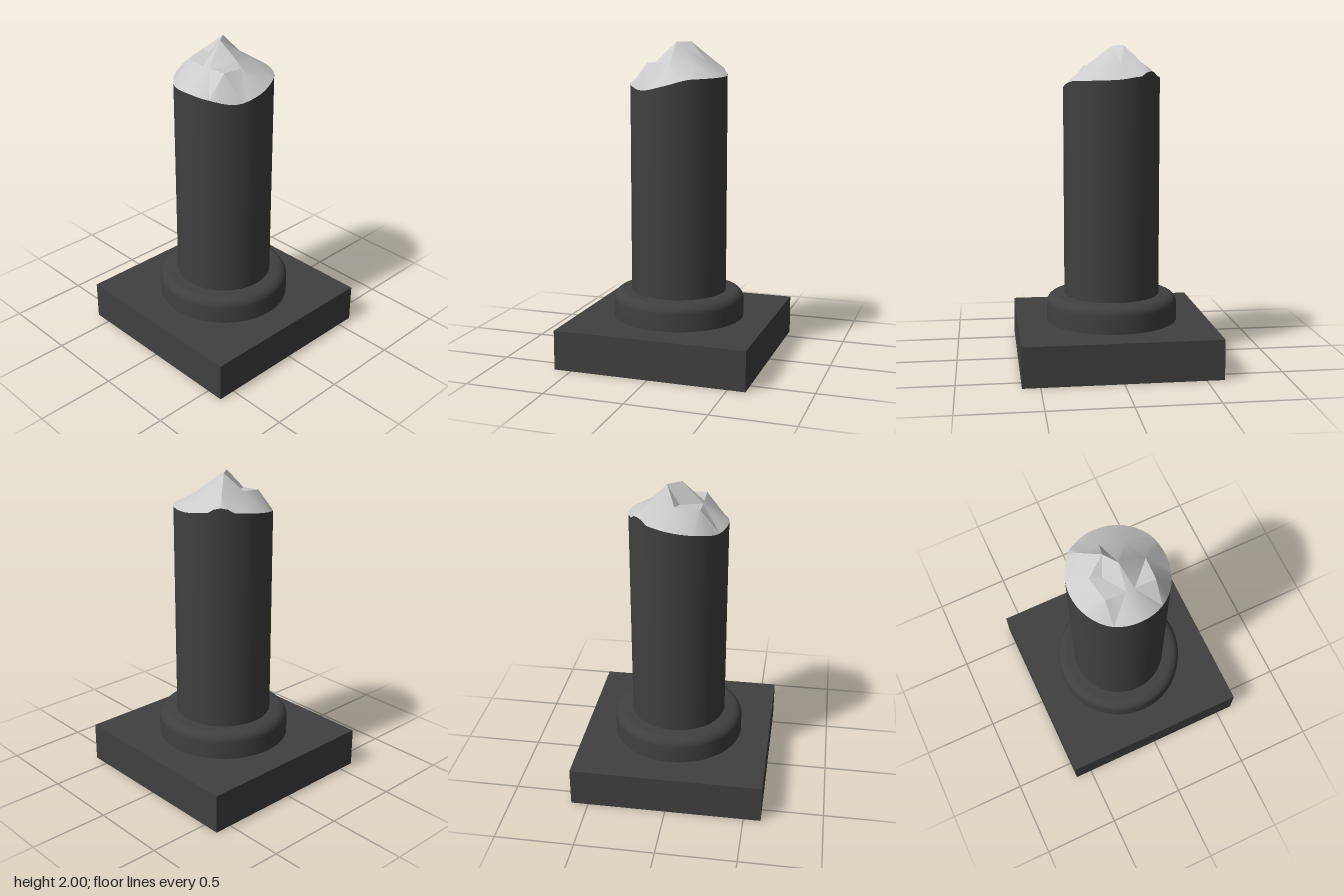
import * as THREE from 'three';
import { toCreasedNormals } from 'three/addons/utils/BufferGeometryUtils.js';

const SEGMENTS = 48, RADIUS = 0.305;

// Height of the broken rim, every 30 degrees from +z towards +x
const rimCurve = new THREE.CatmullRomCurve3(
  [1.75, 1.735, 1.71, 1.74, 1.78, 1.785, 1.79, 1.81, 1.81, 1.79, 1.765, 1.74]
    .map((h) => new THREE.Vector3(0, h, 0)), true);

function rimPoint(i) {
  const t = (((i % SEGMENTS) + SEGMENTS) % SEGMENTS) / SEGMENTS;
  const a = t * Math.PI * 2;
  return [Math.sin(a) * RADIUS, rimCurve.getPoint(t).y, Math.cos(a) * RADIUS];
}

// Open cylinder whose top edge follows the rim
function shaftGeometry() {
  const geo = new THREE.CylinderGeometry(RADIUS, RADIUS, 1, SEGMENTS, 1, true);
  const pos = geo.attributes.position;
  for (let i = 0; i < pos.count; i++) {
    pos.setY(i, i <= SEGMENTS ? rimPoint(i)[1] : 0.41);
  }
  return geo;
}

// Jagged stone: a ridge and ledges in the middle, joined to the rim by fans
function brokenTopGeometry() {
  const ledge = [
    [-0.02, 1.87, 0.15], [0.03, 1.87, 0.15], [0.16, 1.875, 0.15],
    [0.165, 1.87, 0.01], [0.1, 1.87, -0.13], [-0.04, 1.88, -0.17],
    [-0.17, 1.89, -0.17], [-0.18, 1.9, 0], [-0.15, 1.88, 0.15],
  ];
  const [p0, p1, p2, p3, p4, p5, p6, p7, p8] = ledge;
  const peakFront = [-0.01, 2, 0.02], peakBack = [-0.07, 2, -0.06];
  const nookLeft = [0.1, 1.92, 0.01], nookRight = [-0.11, 1.89, 0.02];
  const verts = [];
  const tri = (...corners) => corners.forEach((c) => verts.push(...c));
  const fan = (centre, ...ring) => {
    for (let i = 0; i < ring.length - 1; i++) tri(centre, ring[i], ring[i + 1]);
  };

  // Peaks and ledges
  fan(peakFront, p0, p1, nookLeft, p4, p5, peakBack, nookRight, p0);
  fan(peakBack, p5, p6, p7, nookRight);
  fan(nookLeft, p1, p3, p4);
  fan(nookRight, p7, p8, p0);
  tri(p1, p2, p3);

  // Slopes from the ledges down to the rim
  const n = ledge.length;
  const rimAngle = ledge.map(([x, , z]) => Math.atan2(x, z));
  for (let k = 1; k < n; k++) {
    while (rimAngle[k] < rimAngle[k - 1]) rimAngle[k] += Math.PI * 2;
  }
  const split = (k) => {
    const next = k + 1 < n ? rimAngle[k + 1] : rimAngle[0] + Math.PI * 2;
    return Math.round((rimAngle[k] + next) / 2 / (Math.PI * 2) * SEGMENTS);
  };
  let start = split(n - 1) - SEGMENTS;
  for (let k = 0; k < n; k++) {
    const end = split(k);
    for (let i = start; i < end; i++) tri(ledge[k], rimPoint(i), rimPoint(i + 1));
    tri(ledge[k], rimPoint(end), ledge[(k + 1) % n]);
    start = end;
  }

  const geo = new THREE.BufferGeometry();
  geo.setAttribute('position', new THREE.Float32BufferAttribute(verts, 3));
  return toCreasedNormals(geo, THREE.MathUtils.degToRad(25));
}

// Round footing with a softened upper edge
function footingGeometry() {
  const profile = [new THREE.Vector2(0, 0.25), new THREE.Vector2(0.42, 0.25)];
  for (let i = 0; i <= 8; i++) {
    const a = (i / 8) * Math.PI / 2;
    profile.push(new THREE.Vector2(0.36 + Math.cos(a) * 0.06, 0.36 + Math.sin(a) * 0.06));
  }
  profile.push(new THREE.Vector2(0, 0.42));
  return toCreasedNormals(new THREE.LatheGeometry(profile, SEGMENTS), THREE.MathUtils.degToRad(35));
}

export function createModel() {
  const group = new THREE.Group();
  group.name = 'brokenColumn';
  const dark = new THREE.MeshStandardMaterial({ color: 0x404040 });
  const stone = new THREE.MeshStandardMaterial({ color: 0xcccccc, side: THREE.DoubleSide });
  const add = (name, geometry, material) => {
    const mesh = new THREE.Mesh(geometry, material);
    mesh.name = name;
    group.add(mesh);
    return mesh;
  };

  add('plinth', new THREE.BoxGeometry(1.22, 0.25, 1.22), dark).position.y = 0.125;
  add('footing', footingGeometry(), dark);
  add('shaft', shaftGeometry(), dark);
  add('brokenTop', brokenTopGeometry(), stone);
  return group;
}
